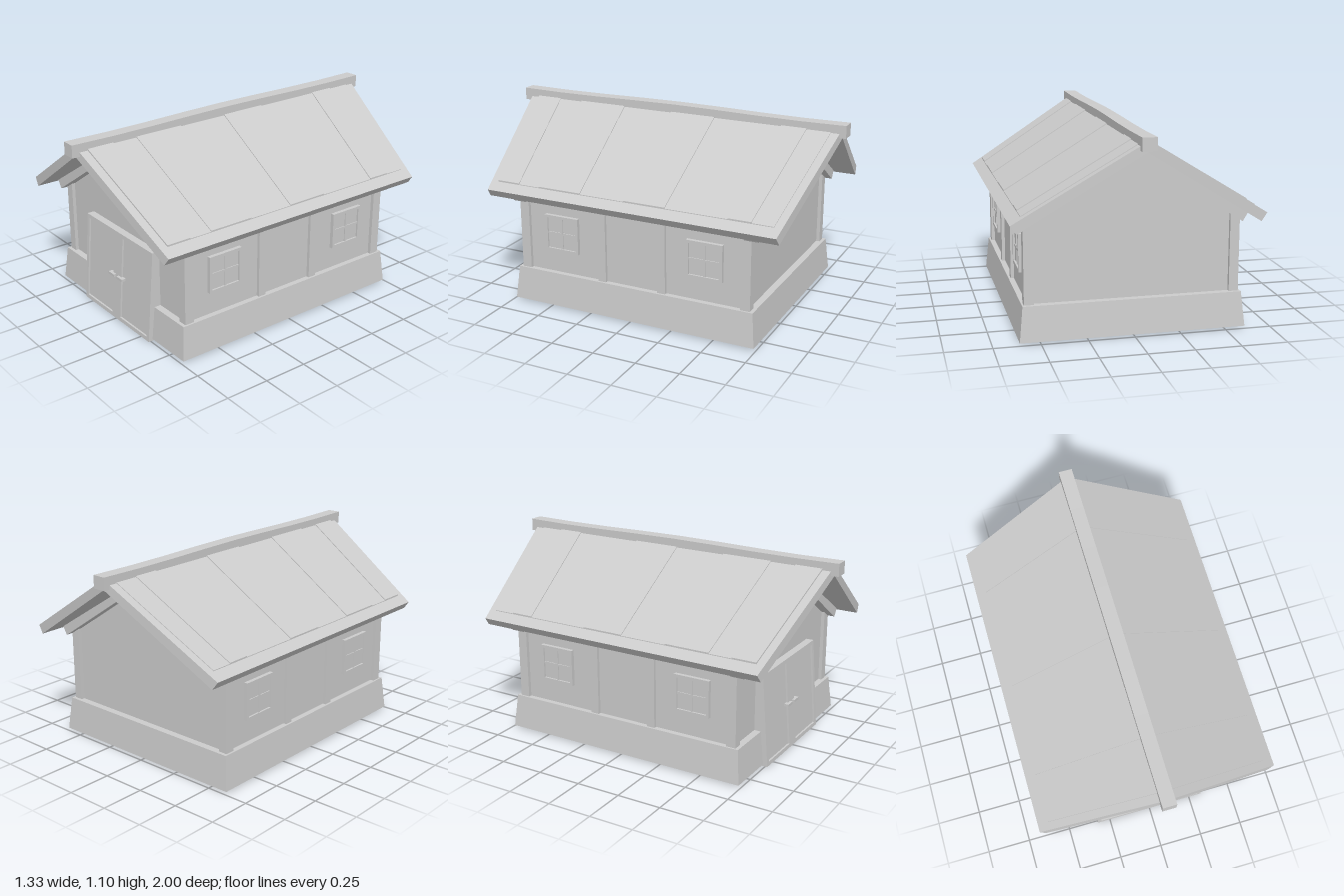
import * as THREE from 'three';

const mat = new THREE.MeshStandardMaterial({ color: 0xcccccc, flatShading: true });

function add(parent, name, geo, x = 0, y = 0, z = 0) {
  const m = new THREE.Mesh(geo, mat);
  m.name = name;
  m.position.set(x, y, z);
  parent.add(m);
  return m;
}

// Box given by its min and max corners
function block(parent, name, x0, x1, y0, y1, z0, z1) {
  return add(parent, name, new THREE.BoxGeometry(x1 - x0, y1 - y0, z1 - z0),
    (x0 + x1) / 2, (y0 + y1) / 2, (z0 + z1) / 2);
}

// Outline in x/y extruded from z0 to z1
function prism(points, z0, z1) {
  const shape = new THREE.Shape(points.map(p => new THREE.Vector2(...p)));
  return new THREE.ExtrudeGeometry(shape, { depth: z1 - z0, bevelEnabled: false }).translate(0, 0, z0);
}

// Move every vertex by a rule
function warp(geo, rule) {
  const p = geo.attributes.position;
  const v = new THREE.Vector3();
  for (let i = 0; i < p.count; i++) {
    v.fromBufferAttribute(p, i);
    rule(v);
    p.setXYZ(i, v.x, v.y, v.z);
  }
  geo.computeVertexNormals();
  return geo;
}

// The roof gets longer towards the ridge
const flare = geo => warp(geo, v => { v.z = v.z * (0.966 - 0.16 * Math.abs(v.x)) - 0.004; });
const mirrored = pts => [...pts, ...pts.slice().reverse().filter(p => p[0] !== 0).map(([x, y]) => [-x, y])];

function windowUnit() {
  const g = new THREE.Group();
  g.name = 'window';
  const h = 0.105, f = 0.016;
  for (const s of [-1, 1]) {
    add(g, 'windowFrameSide', new THREE.BoxGeometry(0.035, 2 * h, f), 0, 0, s * (h - f / 2));
    add(g, 'windowFrameRail', new THREE.BoxGeometry(0.035, f, 2 * (h - f)), 0, s * (h - f / 2), 0);
  }
  add(g, 'windowPane', new THREE.BoxGeometry(0.014, 2 * h - f, 2 * h - f));
  add(g, 'mullion', new THREE.BoxGeometry(0.026, 2 * (h - f), 0.012));
  add(g, 'glazingBar', new THREE.BoxGeometry(0.024, 0.012, 2 * (h - f)));
  return g;
}

function doorway() {
  const g = new THREE.Group();
  g.name = 'doorway';
  // Frame with one opening per door leaf
  const rect = (P, x0, x1, y0, y1) => {
    const p = new P();
    p.moveTo(x0, y0);
    p.lineTo(x1, y0);
    p.lineTo(x1, y1);
    p.lineTo(x0, y1);
    p.closePath();
    return p;
  };
  const frame = rect(THREE.Shape, -0.325, 0.325, 0, 0.52);
  frame.holes.push(rect(THREE.Path, -0.303, -0.04, 0.022, 0.498), rect(THREE.Path, 0.04, 0.303, 0.022, 0.498));
  const lean = v => { v.z += -0.077 * v.y; };
  add(g, 'doorFrame', warp(new THREE.ExtrudeGeometry(frame, { depth: 0.075, bevelEnabled: false }).translate(0, 0, 0.688), lean));
  for (const s of [-1, 1]) {
    const leaf = new THREE.BoxGeometry(0.265, 0.478, 0.045).translate(s * 0.1715, 0.26, 0.73);
    add(g, 'doorLeaf', warp(leaf, lean));
    block(g, 'doorHandle', s * 0.0395 - 0.0275, s * 0.0395 + 0.0275, 0.253, 0.268, 0.72, 0.758);
  }
  return g;
}

export function createModel() {
  const house = new THREE.Group();
  house.name = 'house';

  // Tapered foundation
  const base = new THREE.BoxGeometry(1.22, 0.19, 1.475).translate(0, 0.105, 0);
  add(house, 'foundation', warp(base, v => { if (v.y > 0.1) { v.x *= 0.968; v.z *= 0.975; } }));

  // Walls up into the gables
  const wall = mirrored([[0.56, 0.19], [0.56, 0.64], [0, 0.995]]);
  add(house, 'walls', prism(wall, -0.68, 0.68));

  // Corner posts, side posts and windows
  for (const s of [-1, 1]) {
    for (const e of [-1, 1]) {
      const post = new THREE.BoxGeometry(0.052, 0.44, 0.055);
      add(house, 'cornerPost', post, s * 0.554, 0.41, e * 0.6725);
      add(house, 'sidePost', new THREE.BoxGeometry(0.05, 0.44, 0.048), s * 0.553, 0.41, e * 0.182);
      const w = windowUnit();
      w.position.set(s * 0.564, 0.435, e * 0.435);
      house.add(w);
    }
  }

  // Gable rafters
  const rafter = [[0, 1.025], [-0.607, 0.637], [-0.58, 0.592], [0, 0.978], [0.58, 0.592], [0.607, 0.637]];
  add(house, 'frontRafters', prism(rafter, 0.66, 0.742));
  add(house, 'backRafters', prism(rafter, -0.742, -0.66));

  // Roof slab
  const roof = [[0, 1.075], [-0.667, 0.664], [-0.635, 0.62], [0, 1.02], [0.635, 0.62], [0.667, 0.664]];
  add(house, 'roof', flare(prism(roof, -1, 1)));

  // Thin boards on the roof, of alternating height
  const seams = [-0.95, -0.81, -0.66, -0.25, 0.03, 0.34, 0.64, 0.79, 0.95];
  const topY = x => 1.075 - 0.616 * x;
  for (const s of [-1, 1]) {
    for (let i = 0; i < seams.length - 1; i++) {
      const t = i % 2 ? 0.009 : 0.004;
      const board = [[0.02, topY(0.02) - 0.01], [0.61, topY(0.61) - 0.01], [0.61, topY(0.61) + t], [0.02, topY(0.02) + t]]
        .map(([x, y]) => [s * x, y]);
      add(house, 'roofBoard', flare(prism(board, seams[i], seams[i + 1])));
    }
  }

  // Slightly uneven ridge beam
  const ridge = new THREE.BoxGeometry(0.076, 0.07, 2, 1, 1, 8).translate(0, 1.065, 0);
  add(house, 'ridgeBeam', warp(ridge, v => { v.y += 0.004 * Math.cos(v.z * 4.5); }));

  house.add(doorway());
  return house;
}
